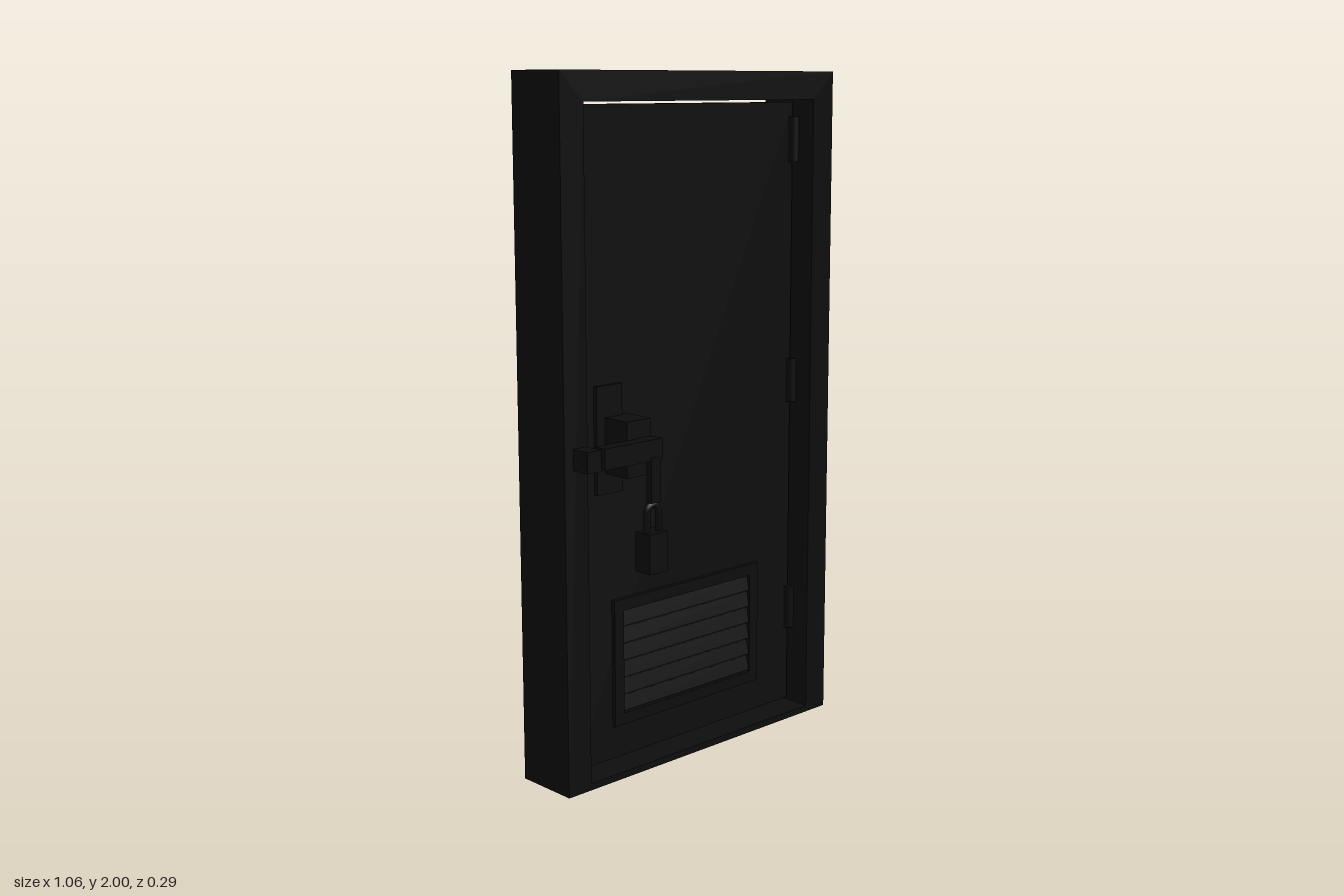
import * as THREE from 'three';

const black = new THREE.MeshStandardMaterial({ color: 0x0d0d0d });
black.name = 'black';

export function createModel() {
  const root = new THREE.Group();
  root.name = 'door';

  const add = (name, geometry, parent = root) => {
    const mesh = new THREE.Mesh(geometry, black);
    mesh.name = name;
    parent.add(mesh);
    return mesh;
  };
  // Box given by its two extreme corners
  const box = (name, x0, x1, y0, y1, z0, z1, parent = root) => {
    const mesh = add(name, new THREE.BoxGeometry(x1 - x0, y1 - y0, z1 - z0), parent);
    mesh.position.set((x0 + x1) / 2, (y0 + y1) / 2, (z0 + z1) / 2);
    return mesh;
  };
  const rect = (PathType, x0, x1, y0, y1) => new PathType([
    [x0, y0], [x1, y0], [x1, y1], [x0, y1],
  ].map(([x, y]) => new THREE.Vector2(x, y)));
  // Rectangular surround with a rectangular opening
  const surround = (name, outer, inner, z0, z1, parent = root) => {
    const shape = rect(THREE.Shape, ...outer);
    shape.holes.push(rect(THREE.Path, ...inner));
    const geometry = new THREE.ExtrudeGeometry(shape, { depth: z1 - z0, bevelEnabled: false });
    return add(name, geometry.translate(0, 0, z0), parent);
  };

  // Deep frame around a thin leaf, with a narrow gap all round
  surround('doorFrame', [-0.532, 0.532, 0, 2], [-0.45, 0.448, 0.02, 1.918], -0.143, 0.055);
  box('doorLeaf', -0.443, 0.441, 0.03, 1.91, -0.068, -0.023);

  // Hinges bridging the gap on one side
  for (const y of [0.335, 1.065, 1.8]) {
    const hinge = add('hinge', new THREE.CylinderGeometry(0.018, 0.018, 0.135, 16));
    hinge.position.set(0.443, y, -0.02);
  }

  // Louvred vent at the bottom of the leaf
  const vent = new THREE.Group();
  vent.name = 'vent';
  root.add(vent);
  surround('ventSurround', [-0.3, 0.29, 0.13, 0.51], [-0.265, 0.255, 0.165, 0.475], -0.023, -0.01, vent);
  for (let i = 0; i < 6; i++) {
    const slat = box('ventSlat', -0.265, 0.255, 0, 0.045, -0.024, -0.018, vent);
    slat.position.y = 0.191 + i * 0.0516;
    slat.rotation.x = -0.2;
  }

  // Lock plate and lock body
  box('lockPlate', -0.36, -0.265, 0.83, 1.14, -0.023, -0.01);
  box('lockBody', -0.33, -0.24, 0.89, 1.05, -0.023, 0.082);

  // Hasp reaching from the frame across to the lock body
  box('haspMount', -0.502, -0.453, 0.935, 0.995, 0.055, 0.115);
  box('haspArm', -0.453, -0.24, 0.94, 1, 0.09, 0.13);
  box('haspPin', -0.29, -0.25, 0.94, 1, 0.08, 0.1);
  box('haspStrap', -0.285, -0.25, 0.82, 0.95, 0.112, 0.132);

  // Hanging padlock
  box('padlockBody', -0.302, -0.233, 0.62, 0.735, 0.083, 0.143);
  const shacklePath = new THREE.CurvePath();
  const r = 0.022;
  const cx = -0.2675;
  const v = (x, y) => new THREE.Vector3(cx + x, y, 0.117);
  shacklePath.add(new THREE.LineCurve3(v(-r, 0.73), v(-r, 0.79)));
  shacklePath.add(new THREE.CubicBezierCurve3(v(-r, 0.79), v(-r, 0.82), v(r, 0.82), v(r, 0.79)));
  shacklePath.add(new THREE.LineCurve3(v(r, 0.79), v(r, 0.73)));
  add('padlockShackle', new THREE.TubeGeometry(shacklePath, 32, 0.01, 8));

  return root;
}
